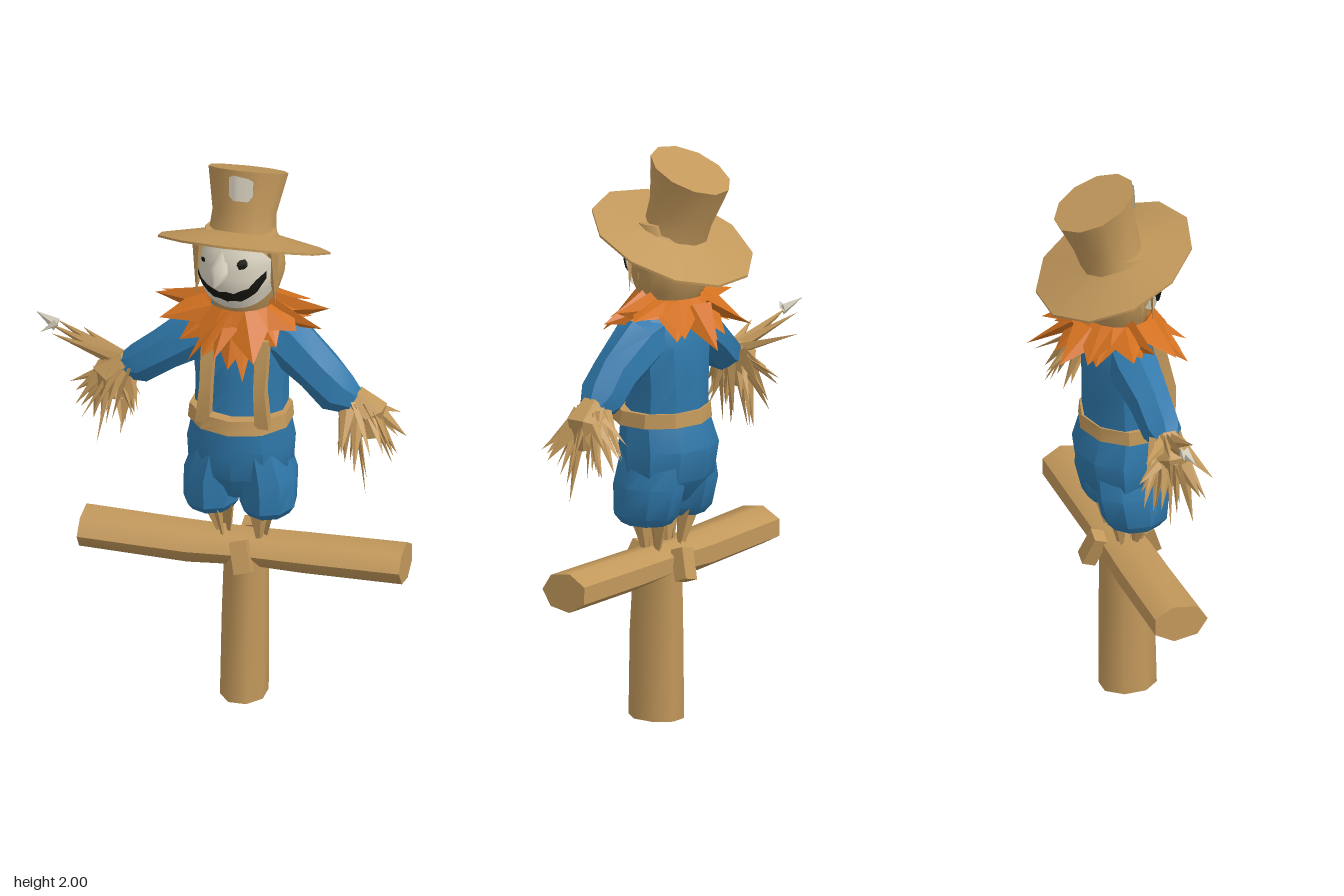
import * as THREE from 'three';
import { mergeGeometries, toCreasedNormals } from 'three/addons/utils/BufferGeometryUtils.js';

const V = (x, y, z) => new THREE.Vector3(x, y, z);
const UP = V(0, 1, 0);

function paint(name, color, side = THREE.FrontSide) {
  const m = new THREE.MeshStandardMaterial({ color, side });
  m.name = name;
  return m;
}

// Solid through rings [x, y, z, rx, rz]; rings face the given axis, or follow the path.
function loft(rings, sides, axis = null, crease = 0.6, turn = 0) {
  const pos = [], idx = [], n = rings.length;
  const centres = rings.map(r => V(r[0], r[1], r[2]));
  rings.forEach(([, , , rx, rz = rx], k) => {
    const dir = axis ?? centres[Math.min(k + 1, n - 1)].clone().sub(centres[Math.max(k - 1, 0)]).normalize();
    const q = new THREE.Quaternion().setFromUnitVectors(UP, dir);
    for (let i = 0; i < sides; i++) {
      const a = (i / sides) * Math.PI * 2 + turn;
      pos.push(...V(Math.sin(a) * rx, 0, Math.cos(a) * rz).applyQuaternion(q).add(centres[k]).toArray());
    }
  });
  pos.push(...centres[0].toArray(), ...centres[n - 1].toArray());
  for (let i = 0; i < sides; i++) {
    const j = (i + 1) % sides, t = (n - 1) * sides;
    for (let k = 0; k < n - 1; k++) {
      const b = k * sides, c = b + sides;
      idx.push(b + i, b + j, c + j, b + i, c + j, c + i);
    }
    idx.push(n * sides, j, i, n * sides + 1, t + i, t + j);
  }
  const g = new THREE.BufferGeometry();
  g.setAttribute('position', new THREE.Float32BufferAttribute(pos, 3));
  g.setIndex(idx);
  return toCreasedNormals(g, crease);
}

// Thin skin over columns [x, yLow, yHigh], pushed onto the surface z = depth(x, y).
function skin(cols, depth, rows = 8) {
  const pos = [], idx = [];
  cols.forEach(([x, lo, hi], c) => {
    for (let r = 0; r <= rows; r++) {
      const y = lo + (hi - lo) * r / rows;
      pos.push(x, y, depth(x, y));
      if (c && r) {
        const b = c * (rows + 1) + r, a = b - rows - 1;
        idx.push(a - 1, b - 1, b, a - 1, b, a);
      }
    }
  });
  const g = new THREE.BufferGeometry();
  g.setAttribute('position', new THREE.Float32BufferAttribute(pos, 3));
  g.setIndex(idx);
  g.computeVertexNormals();
  return g;
}

// Flat tapered straw blade.
function blade(from, to, width) {
  const d = to.clone().sub(from), len = d.length();
  const g = new THREE.ConeGeometry(width, len, 4, 1).toNonIndexed();
  g.scale(1, 1, 0.45);
  g.applyQuaternion(new THREE.Quaternion().setFromUnitVectors(UP, d.normalize()));
  g.translate(...from.clone().add(to).multiplyScalar(0.5).toArray());
  g.computeVertexNormals();
  return g;
}

// Ragged neck frill: inner ring, then alternating tips and valleys, drooping most at the front.
function frill(points, turn, size, lift) {
  const pos = [], n = points * 2;
  const ring = (i, outer) => {
    const a = (i % n) / n * Math.PI * 2 + turn, f = Math.max(0, Math.cos(a)) ** 2, b = Math.max(0, -Math.cos(a));
    if (!outer) return [0.07 + 0.12 * Math.sin(a), 1.485 + lift, 0.02 + 0.12 * Math.cos(a)];
    const tip = i % 2 === 0, r = (tip ? 1 + 0.1 * Math.sin((i % n) * 2.3) : 0.68) * size;
    const drop = tip ? 0.02 + 0.14 * f + 0.09 * b : 0.015 + 0.07 * f + 0.03 * b;
    return [0.07 + 0.28 * r * Math.sin(a), 1.48 + lift - drop, 0.01 + 0.235 * r * Math.cos(a)];
  };
  for (let i = 0; i < n; i++) {
    const a = ring(i), b = ring(i + 1), c = ring(i, true), d = ring(i + 1, true);
    pos.push(...c, ...d, ...b, ...c, ...b, ...a);
  }
  const g = new THREE.BufferGeometry();
  g.setAttribute('position', new THREE.Float32BufferAttribute(pos, 3));
  g.computeVertexNormals();
  return g;
}

export function createModel() {
  const model = new THREE.Group();
  model.name = 'scarecrow';
  const straw = paint('straw tan', 0xc2985b, THREE.DoubleSide);
  const blue = paint('denim blue', 0x2f78aa);
  const orange = paint('collar orange', 0xd2701f, THREE.DoubleSide);
  const ivory = paint('ivory', 0xd9d2c0, THREE.DoubleSide);
  const black = paint('black', 0x14150e, THREE.DoubleSide);
  const add = (name, geo, mat) => {
    const m = new THREE.Mesh(geo, mat);
    m.name = name;
    model.add(m);
    return m;
  };
  let seed = 7;
  const rnd = () => (seed = (seed * 16807) % 2147483647) / 2147483647;

  // Wooden cross
  add('post', loft([[0.09, 0, 0.06, 0.082, 0.102], [0.093, 0.3, 0.057, 0.08, 0.098],
    [0.095, 0.55, 0.05, 0.076, 0.088]], 8, UP, 1, 0.39), straw);
  add('crossbar', loft([[-0.48, 0.558, 0.04, 0.068, 0.1], [-0.1, 0.548, 0.042, 0.07, 0.095],
    [0.1, 0.555, 0.042, 0.062, 0.09], [0.3, 0.555, 0.042, 0.068, 0.09], [0.655, 0.56, 0.042, 0.07, 0.092]],
  7, null, 1), straw);
  for (const s of [1, -1]) {
    const knot = add(s > 0 ? 'frontKnot' : 'backKnot', new THREE.BoxGeometry(0.06, 0.11, 0.05), straw);
    knot.position.set(0.1, 0.555, 0.037 + s * 0.1);
    knot.rotation.set(-s * 0.35, 0, 0.25);
  }

  // Straw shins between trousers and bar
  const shins = [];
  for (const x of [0, 0.155]) for (let i = 0; i < 5; i++) {
    const a = i * 1.26;
    shins.push(blade(V(x + 0.03 * Math.sin(a), 0.75, 0.045 + 0.06 * Math.cos(a)),
      V(x + (x ? -0.01 : 0.025) + 0.01 * Math.sin(a), 0.55, 0.04 + 0.03 * Math.cos(a)), 0.042));
  }
  add('shins', mergeGeometries(shins), straw);

  // Trousers, belt and shirt
  add('trouserSeat', loft([[0.07, 0.77, 0.035, 0.11, 0.08], [0.07, 0.86, 0.025, 0.182, 0.145], [0.07, 0.97, 0.022, 0.188, 0.163],
    [0.075, 1.08, 0.035, 0.168, 0.14]], 10, UP), blue);
  for (const [name, x] of [['rightLeg', -0.027], ['leftLeg', 0.171]]) {
    add(name, loft([[x, 0.705, 0.045, 0.078, 0.09], [x, 0.735, 0.045, 0.098, 0.118], [x, 0.84, 0.035, 0.098, 0.135],
      [x + (x < 0 ? 0.02 : -0.02), 0.95, 0.03, 0.08, 0.13]], 9, UP), blue);
  }
  add('belt', loft([[0.075, 1.055, 0.048, 0.183, 0.166], [0.075, 1.105, 0.045, 0.178, 0.158]], 10, UP), straw);
  add('shirt', loft([[0.073, 1.07, 0.03, 0.162, 0.135], [0.073, 1.2, 0.022, 0.163, 0.125], [0.075, 1.34, 0.018, 0.18, 0.118],
    [0.075, 1.43, 0.02, 0.165, 0.095], [0.075, 1.48, 0.02, 0.1, 0.07]], 10, UP), blue);

  // Braces on the chest
  for (const [name, x, lean] of [['rightBrace', -0.028, 0.012], ['leftBrace', 0.182, -0.008]]) {
    add(name, loft([[x, 1.08, 0.16, 0.035, 0.03], [x + lean, 1.22, 0.165, 0.028, 0.034],
      [x + lean, 1.4, 0.125, 0.032, 0.03]], 4, UP, 0.6, 0.785), straw);
  }

  // Sleeves
  add('leftSleeve', loft([[0.14, 1.39, 0.02, 0.075], [0.235, 1.36, 0.025, 0.095], [0.35, 1.265, 0.045, 0.083],
    [0.42, 1.195, 0.055, 0.08], [0.475, 1.165, 0.055, 0.05]], 7), blue);
  add('rightSleeve', loft([[0.01, 1.39, 0.02, 0.075], [-0.085, 1.345, 0.025, 0.09], [-0.19, 1.275, 0.04, 0.075],
    [-0.28, 1.21, 0.05, 0.07], [-0.335, 1.19, 0.05, 0.045]], 7), blue);

  // Straw hands: blades fanned from the wrist
  function hand(name, wrist, heart, spread, reach) {
    const parts = [loft([[...wrist, 0.045], [...heart, 0.065], [heart[0], heart[1] - 0.09, heart[2], 0.035]], 6)];
    for (let i = 0; i < 26; i++) {
      const a = i * 2.4, r = 0.35 + 0.65 * rnd(), down = reach * (1.15 - 0.75 * r * r) * (0.75 + 0.35 * rnd());
      const from = V(...wrist).lerp(V(...heart), rnd()).add(V(0.03 * Math.sin(a), 0, 0.03 * Math.cos(a)));
      parts.push(blade(from, V(heart[0] + spread[0] * r * Math.sin(a), heart[1] + 0.03 - down,
        heart[2] + spread[1] * r * Math.cos(a)), 0.026 + 0.012 * rnd()));
    }
    parts.forEach(p => p.deleteAttribute('uv'));
    add(name, mergeGeometries(parts), straw);
  }
  hand('leftHand', [0.47, 1.18, 0.05], [0.53, 1.13, 0.05], [0.13, 0.17], 0.28);
  hand('rightHand', [-0.32, 1.21, 0.05], [-0.385, 1.16, 0.05], [0.13, 0.15], 0.26);
  const wisps = [[-0.62, 1.3, 0.01], [-0.6, 1.29, -0.04], [-0.6, 1.27, 0.03], [-0.52, 1.24, -0.1],
    [-0.53, 1.1, 0.04], [-0.5, 1.27, 0.08]];
  add('pointingStraws', mergeGeometries(wisps.map(t => blade(V(-0.33, 1.2, 0.045), V(...t), 0.034))), straw);
  add('paleTips', mergeGeometries([blade(V(-0.585, 1.295, 0.01), V(-0.665, 1.325, -0.015), 0.024),
    blade(V(-0.585, 1.305, 0.015), V(-0.635, 1.275, 0.04), 0.022)]), ivory);

  // Collar
  add('upperCollar', frill(9, 0.35, 1.0, 0.015), orange);
  add('lowerCollar', frill(8, 0, 0.86, -0.01), orange);
  const tails = [[-0.07, 1.33, 0.22], [0.03, 1.36, 0.25], [0.13, 1.285, 0.24], [0.37, 1.44, 0.08], [0.38, 1.49, 0.02],
    [-0.23, 1.485, 0.04], [0.19, 1.36, -0.27], [-0.05, 1.4, -0.24]];
  add('collarTails', mergeGeometries(tails.map(t =>
    blade(V(0.07 + (t[0] - 0.07) * 0.35, 1.465, t[2] * 0.42), V(...t), 0.065))), orange);

  // Head
  const headRings = [[0.07, 1.46, 0.02, 0.09, 0.08], [0.07, 1.53, 0.015, 0.125, 0.125], [0.072, 1.61, 0.015, 0.148, 0.143],
    [0.072, 1.69, 0.02, 0.145, 0.128], [0.07, 1.76, 0.03, 0.125, 0.085]];
  add('head', loft(headRings, 16, UP, 0.9), straw);
  const onHead = lift => (x, y) => {
    const k = Math.max(0, Math.min(3, headRings.findIndex(r => r[1] > y) - 1));
    const p = headRings[k], q = headRings[k + 1], t = (y - p[1]) / (q[1] - p[1]);
    const [cx, , cz, rx, rz] = p.map((v, i) => v + (q[i] - v) * t);
    return cz + (rz + lift) * Math.sqrt(Math.max(0, 1 - ((x - cx) / (rx + lift)) ** 2));
  };
  const faceCols = [];
  for (let i = 0; i <= 12; i++) {
    const s = i / 6 - 1, h = Math.sqrt(1 - 0.75 * s * s);
    faceCols.push([0.065 + 0.13 * s, 1.635 - 0.125 * h, 1.635 + 0.12 * h]);
  }
  add('face', skin(faceCols, onHead(0.008)), ivory);
  add('mouth', skin([[-0.062, 1.612, 1.63], [-0.045, 1.58, 1.608], [-0.02, 1.562, 1.592], [0.005, 1.55, 1.585],
    [0.03, 1.552, 1.578], [0.055, 1.545, 1.585], [0.08, 1.55, 1.58], [0.105, 1.55, 1.595], [0.13, 1.565, 1.604],
    [0.155, 1.585, 1.635], [0.185, 1.635, 1.662]], onHead(0.015)), black);
  for (const [name, x, y, r] of [['rightEye', -0.038, 1.678, 0.009], ['leftEye', 0.108, 1.692, 0.018]]) {
    add(name, skin([[x - r, y - 0.003, y + 0.004], [x - r / 2, y - r, y + r * 0.8], [x + r / 2, y - r * 0.8, y + r],
      [x + r, y - 0.004, y + 0.005]], onHead(0.015)), black);
  }
  add('nose', loft([[0.035, 1.715, 0.11, 0.03], [0.028, 1.645, 0.145, 0.04], [0.02, 1.61, 0.197, 0.006]], 6, null, 1.2), ivory);

  // Straw hair at the temples
  const locks = [];
  for (const [x, s] of [[-0.06, -1], [0.195, 1]]) for (let i = 0; i < 3; i++) {
    locks.push(blade(V(x, 1.725 - i * 0.015, 0.09 - i * 0.03), V(x + s * 0.012, 1.52 + 0.02 * i, 0.09 - i * 0.035), 0.026));
  }
  add('hair', mergeGeometries(locks), straw);

  // Tilted hat
  const tilt = V(0, Math.cos(0.42), -Math.sin(0.42));
  add('hat', loft([[0.07, 1.72, 0, 0.13, 0.13], [0.072, 1.688, 0.005, 0.3, 0.29], [0.072, 1.696, 0.004, 0.3, 0.29],
    [0.066, 1.732, -0.01, 0.118, 0.113], [0.066, 1.8, -0.03, 0.11, 0.118], [0.07, 1.942, -0.07, 0.138, 0.15]],
    11, tilt, 0.7), straw);
  add('hatPatch', skin([[0.038, 1.905, 1.975], [0.055, 1.89, 1.985], [0.07, 1.892, 1.985], [0.105, 1.888, 1.975],
    [0.122, 1.91, 1.965]], (x, y) => 0.087 - (y - 1.765) * 0.06 - 0.27 * Math.abs(x - 0.07)), ivory);
  return model;
}
